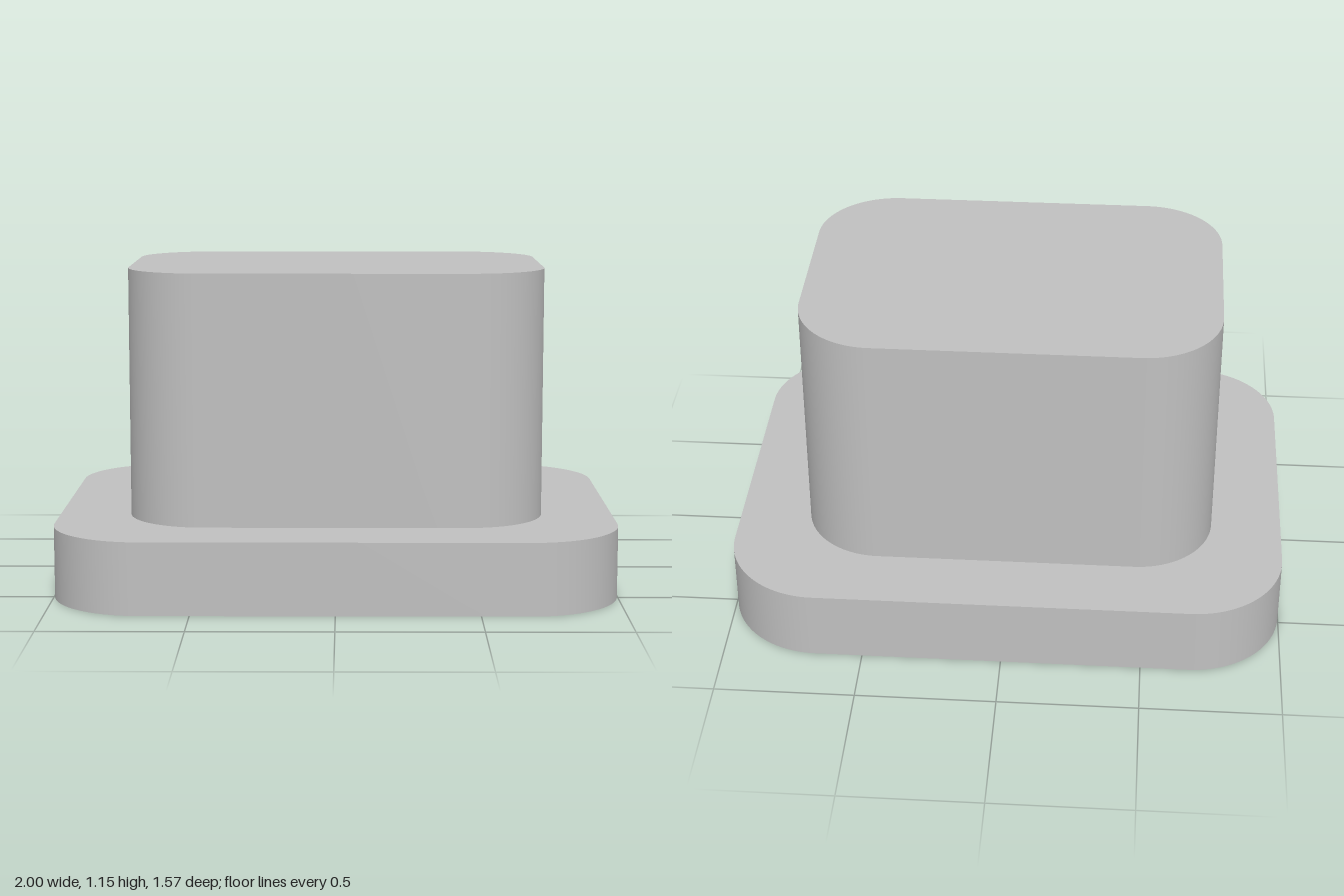
import * as THREE from 'three';
import { toCreasedNormals } from 'three/addons/utils/BufferGeometryUtils.js';

// Upright slab with rounded vertical corners: half width, half depth, corner radius
function roundedSlab(name, hx, hz, r, y0, y1, material) {
  const s = new THREE.Shape();
  s.moveTo(hx, -hz + r);
  s.absarc(hx - r, hz - r, r, 0, Math.PI / 2);
  s.absarc(-hx + r, hz - r, r, Math.PI / 2, Math.PI);
  s.absarc(-hx + r, -hz + r, r, Math.PI, Math.PI * 1.5);
  s.absarc(hx - r, -hz + r, r, Math.PI * 1.5, Math.PI * 2);
  const extruded = new THREE.ExtrudeGeometry(s, { depth: y1 - y0, bevelEnabled: false, curveSegments: 20 });
  extruded.rotateX(-Math.PI / 2);
  extruded.translate(0, y0, 0);
  const mesh = new THREE.Mesh(toCreasedNormals(extruded, Math.PI / 6), material);
  mesh.name = name;
  return mesh;
}

export function createModel() {
  const group = new THREE.Group();
  group.name = 'flangedPlug';
  const grey = new THREE.MeshStandardMaterial({ color: 0xc0c0c0 });
  grey.name = 'light grey';

  // Wide flange at the bottom, narrower block standing on it
  group.add(roundedSlab('baseFlange', 1, 0.785, 0.33, 0, 0.257, grey));
  group.add(roundedSlab('upperBlock', 0.745, 0.532, 0.28, 0.25, 1.152, grey));
  return group;
}
